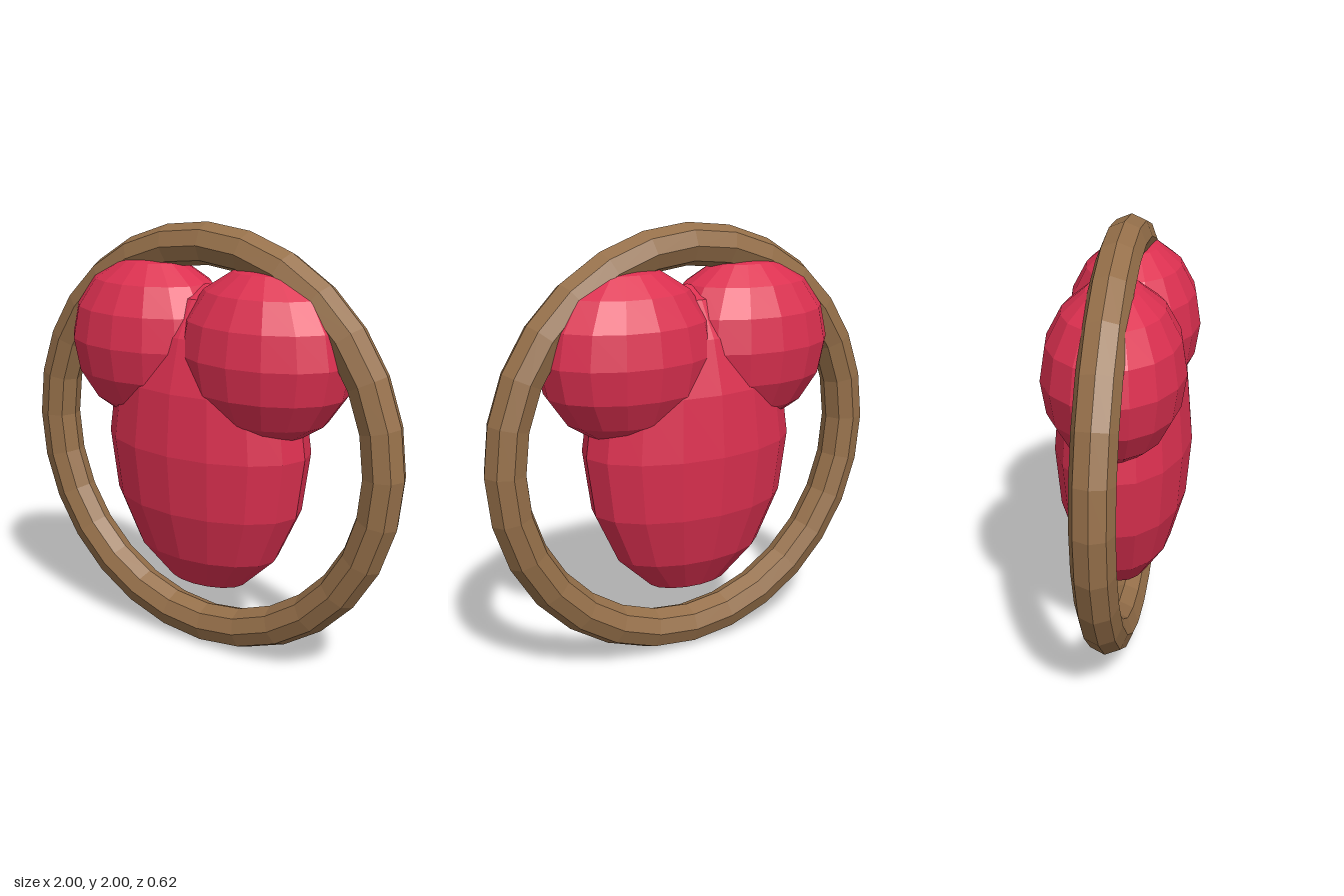
import * as THREE from 'three';

const red = new THREE.MeshStandardMaterial({ color: 0xdc3050, flatShading: true });
red.name = 'heartRed';
const brown = new THREE.MeshStandardMaterial({ color: 0x96704a, flatShading: true });
brown.name = 'woodBrown';

// Faceted ellipsoid with its centre and radii
function ellipsoid(name, centre, radii) {
  const mesh = new THREE.Mesh(new THREE.SphereGeometry(1, 16, 8).scale(...radii), red);
  mesh.name = name;
  mesh.position.set(...centre);
  return mesh;
}

export function createModel() {
  const model = new THREE.Group();
  model.name = 'heartInRing';

  // Upright ring
  const ring = new THREE.Mesh(new THREE.TorusGeometry(0.905, 0.095, 8, 28), brown);
  ring.name = 'ring';
  ring.position.y = 1;
  model.add(ring);

  // Heart: a tall body with two lobes on top
  const heart = new THREE.Group();
  heart.name = 'heart';
  heart.add(ellipsoid('heartBody', [0, 1.005, 0], [0.52, 0.725, 0.31]));
  for (const [name, side] of [['leftLobe', 1], ['rightLobe', -1]]) {
    heart.add(ellipsoid(name, [side * 0.31, 1.445, 0], [0.417, 0.392, 0.31]));
  }
  model.add(heart);
  return model;
}
